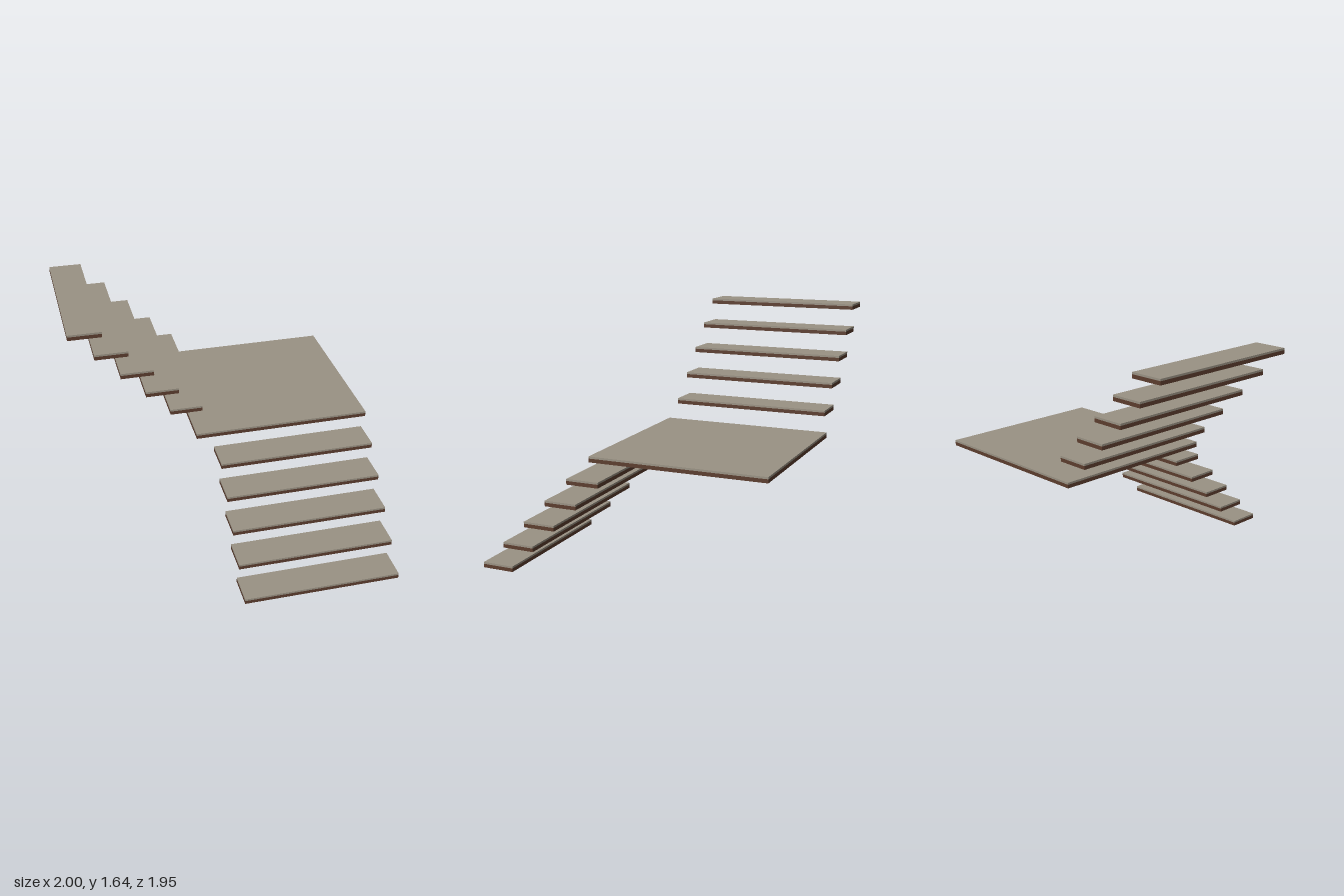
import * as THREE from 'three';

const RISE = 0.16, GOING = 0.16, DEPTH = 0.22;
const BASE = 0.024, CAP = 0.013; // wooden board and stone covering

export function createModel() {
  const stone = new THREE.MeshStandardMaterial({ color: 0x9a9284 });
  stone.name = 'warm grey stone';
  const wood = new THREE.MeshStandardMaterial({ color: 0x5c3d2e });
  wood.name = 'dark brown wood';

  const model = new THREE.Group();
  model.name = 'floatingStaircase';

  // one slab: wooden board with a thin stone covering
  function addSlab(name, x0, x1, y, z0, z1) {
    const slab = new THREE.Group();
    slab.name = name;
    const layer = (part, bottom, height, material) => {
      const mesh = new THREE.Mesh(new THREE.BoxGeometry(x1 - x0, height, z1 - z0), material);
      mesh.name = part;
      mesh.position.set((x0 + x1) / 2, bottom + height / 2, (z0 + z1) / 2);
      slab.add(mesh);
    };
    layer('board', y, BASE, wood);
    layer('covering', y + BASE, CAP, stone);
    model.add(slab);
  }

  // lower flight climbs towards the back, upper flight towards -x
  for (let i = 0; i < 5; i++) {
    const front = 0.977 - i * GOING;
    addSlab('lowerStep' + (i + 1), -0.07, 1, i * RISE, front - DEPTH, front);
    const right = -0.14 - i * GOING;
    addSlab('upperStep' + (i + 1), right - DEPTH, right, (i + 6) * RISE, -0.977, 0.085);
  }

  // corner landing between the flights
  addSlab('landing', -0.203, 1, 5 * RISE, -0.977, 0.177);
  return model;
}
